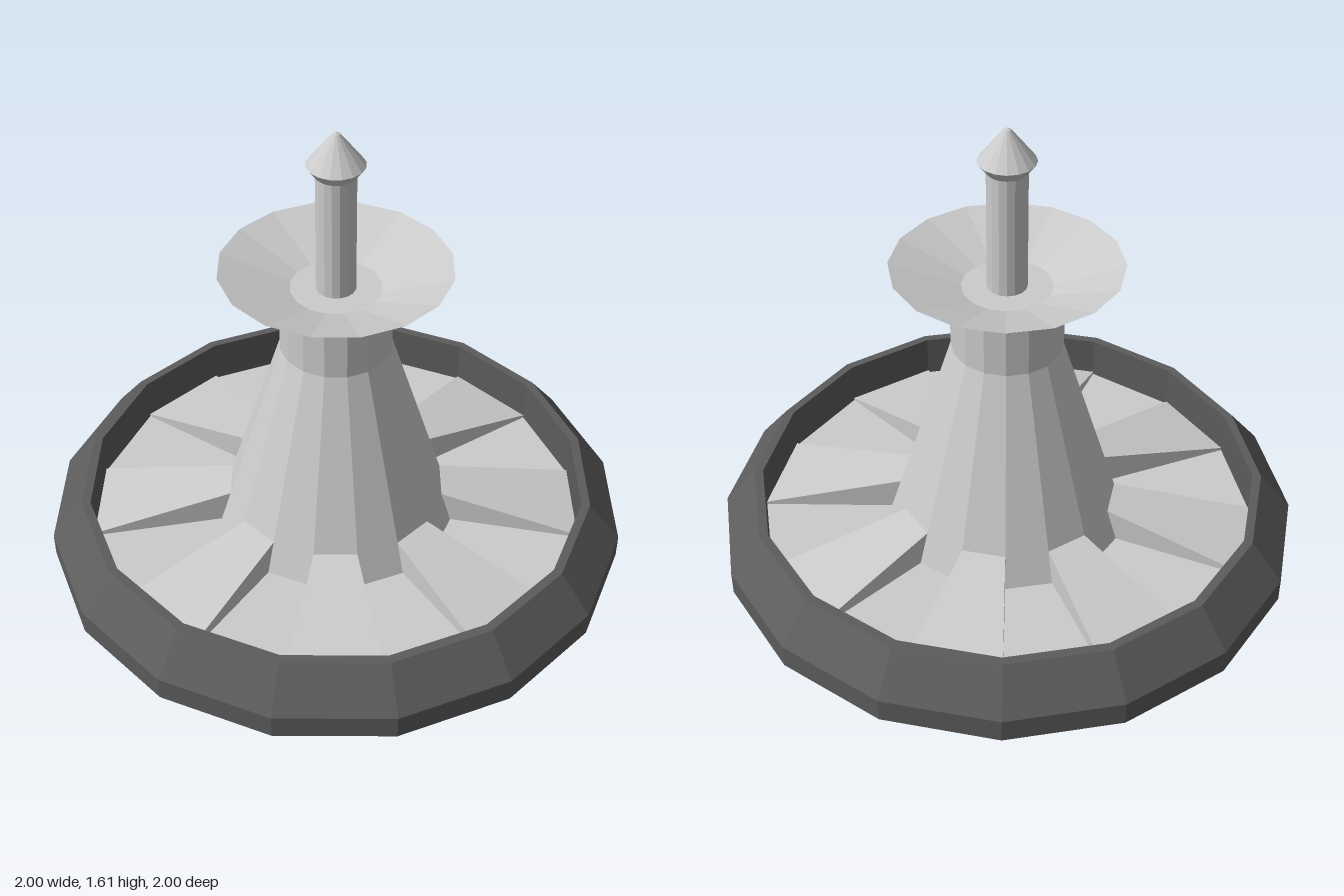
import * as THREE from 'three';

const SIDES = 16;
const STEP = Math.PI * 2 / SIDES;
const light = new THREE.MeshStandardMaterial({ color: 0xcccccc, flatShading: true });
const dark = new THREE.MeshStandardMaterial({ color: 0x5c5c5c, flatShading: true });

// Faceted turned part; radii are measured to the middle of each flat
function turned(name, profile, material) {
  const points = profile.map(([r, y]) => new THREE.Vector2(r / Math.cos(STEP / 2), y));
  const mesh = new THREE.Mesh(new THREE.LatheGeometry(points, SIDES, STEP / 2), material);
  mesh.name = name;
  return mesh;
}

// Wedge filling one sector, sloping down from the tower to the rim
function spokeGeometry(inner, innerY, outer, outerY, bottomY) {
  const geometry = new THREE.BoxGeometry(1, 1, 1);
  const p = geometry.attributes.position;
  for (let i = 0; i < p.count; i++) {
    const atRim = p.getZ(i) > 0;
    const r = atRim ? outer : inner;
    const top = atRim ? outerY : innerY;
    p.setXYZ(i, Math.sign(p.getX(i)) * r * Math.tan(STEP / 2), p.getY(i) > 0 ? top : bottomY, r);
  }
  geometry.computeVertexNormals();
  return geometry;
}

export function createModel() {
  const model = new THREE.Group();
  model.name = 'fountain';

  // Basin: closed underside, bevelled outer wall, narrow lip, upright inner wall
  model.add(turned('basin', [
    [0, 0], [1, 0], [1, 0.085], [0.89, 0.22], [0.86, 0.22], [0.86, 0.055],
  ], dark));
  model.add(turned('basinFloor', [[0.86, 0.06], [0, 0.06]], light));

  // Sloping spokes in every other sector
  const spoke = spokeGeometry(0.36, 0.18, 0.86, 0.07, 0.03);
  for (let i = 0; i < SIDES / 2; i++) {
    const mesh = new THREE.Mesh(spoke, light);
    mesh.name = 'spoke';
    mesh.rotation.y = i * STEP * 2;
    model.add(mesh);
  }

  // Tapered tower with a straight neck
  model.add(turned('tower', [[0.412, 0.06], [0.187, 0.8], [0.187, 0.97]], light));

  // Flared bowl with a sharp rim and a flat bottom
  model.add(turned('bowl', [
    [0.187, 0.97], [0.382, 1.112], [0.15, 1.03], [0, 1.03],
  ], light));

  // Spout rod and pointed cap
  model.add(turned('spout', [[0.066, 1.02], [0.066, 1.455]], light));
  model.add(turned('spoutCap', [[0.066, 1.455], [0.094, 1.492], [0.012, 1.6], [0, 1.605]], light));

  return model;
}
